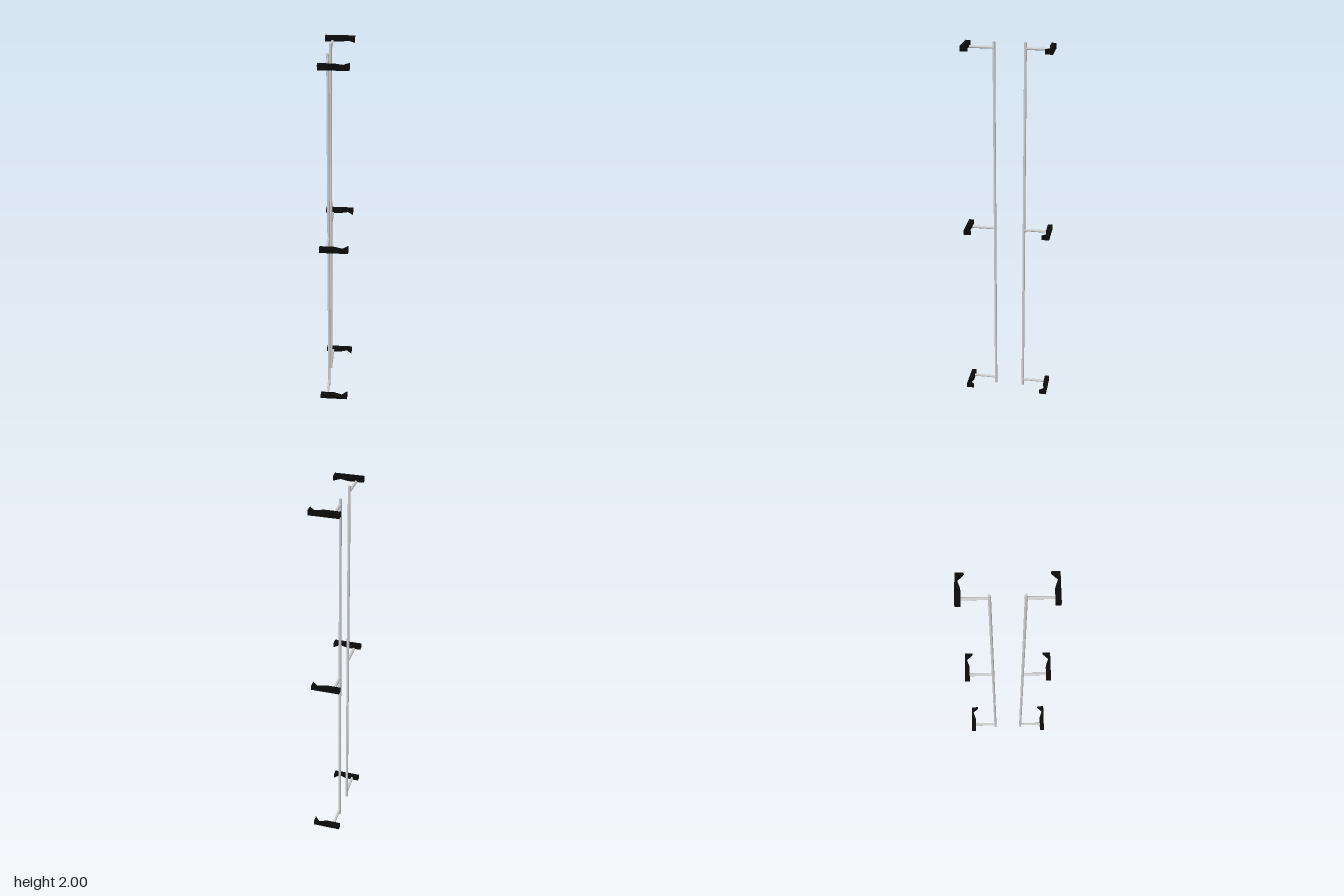
import * as THREE from 'three';

export function createModel() {
  const model = new THREE.Group();
  const steel = new THREE.MeshStandardMaterial({ color: 0xcccccc });
  const black = new THREE.MeshStandardMaterial({ color: 0x0a0a0a });

  const poleX = -0.038, poleZ = 0.079, radius = 0.007;
  const clipHeight = 0.026;

  // Clip outline in plan (x, z): flat outer side, hooked inner side
  const outline = [
    [-0.075, 0.204], [0, 0.204], [0.045, 0.22], [0.075, 0.189],
    [0.075, 0.229], [-0.075, 0.229],
  ];

  // Heights of each bracket: [arm, clip]
  const levels = [[0.037, 0.037], [0.99, 1.003], [1.97, 1.982]];

  const poleGeometry = new THREE.CylinderGeometry(radius, radius, 2, 16);
  const armLength = 0.125;
  const armGeometry = new THREE.CylinderGeometry(radius, radius, armLength, 16).rotateX(Math.PI / 2);

  for (const side of [1, -1]) {
    const rail = new THREE.Group();
    rail.name = side > 0 ? 'frontRail' : 'backRail';

    const add = (name, geometry, material, x, y, z) => {
      const mesh = new THREE.Mesh(geometry, material);
      mesh.name = name;
      mesh.position.set(x, y, z);
      rail.add(mesh);
    };

    // Extruded along z, then tipped so the extrusion runs vertically
    const shape = new THREE.Shape(outline.map(([x, z]) => new THREE.Vector2(x, -z * side)));
    const clipGeometry = new THREE.ExtrudeGeometry(shape, { depth: clipHeight, bevelEnabled: false })
      .translate(0, 0, -clipHeight / 2)
      .rotateX(-Math.PI / 2);

    add('pole', poleGeometry, steel, poleX, 1, poleZ * side);
    for (const [armY, clipY] of levels) {
      add('arm', armGeometry, steel, poleX, armY, side * (0.083 + armLength / 2));
      add('clip', clipGeometry, black, 0, clipY, 0);
    }
    model.add(rail);
  }
  return model;
}
